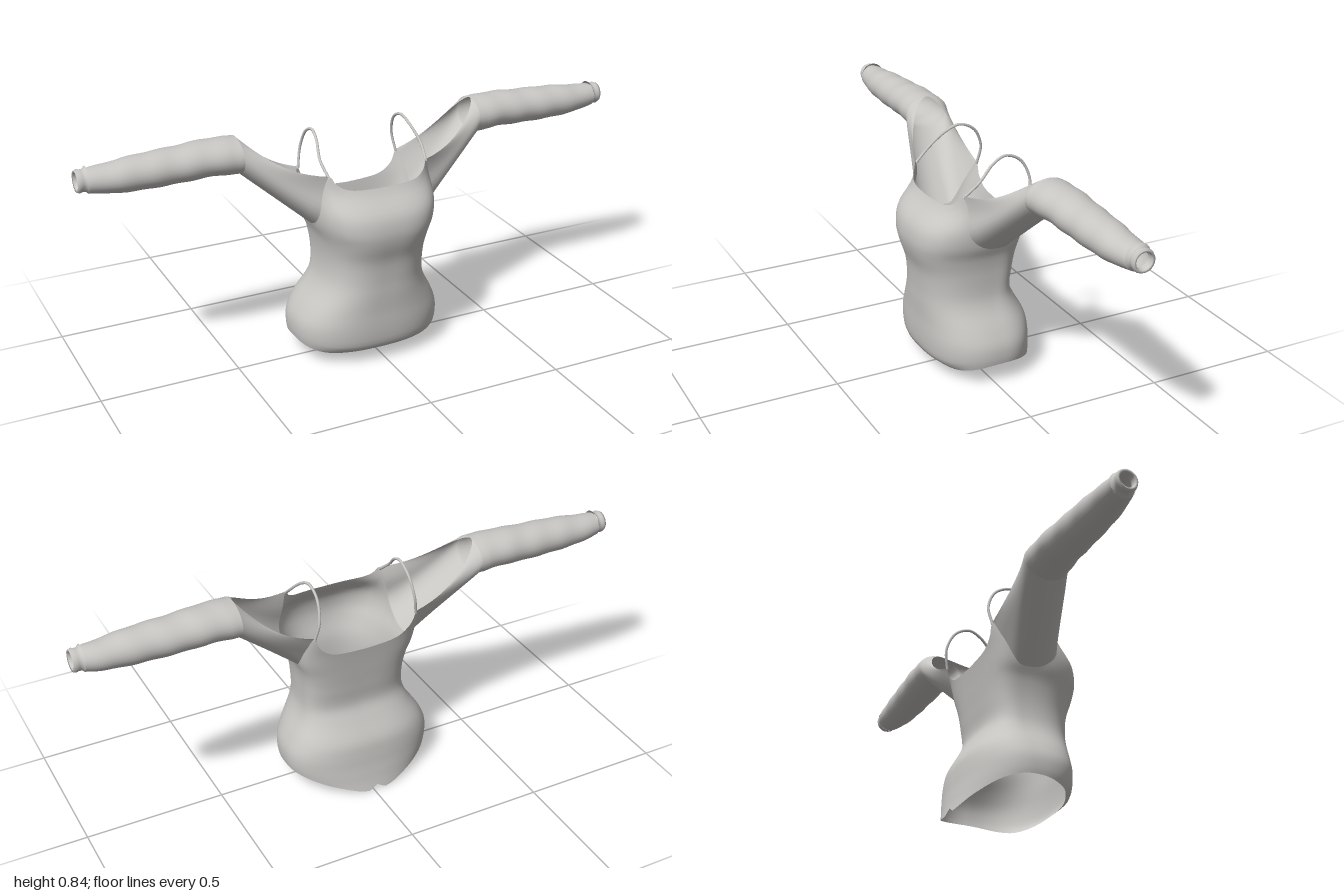
import * as THREE from 'three';
import { mergeVertices } from 'three/addons/utils/BufferGeometryUtils.js';

const PI = Math.PI, CZ = -0.03, FRONT = 0.85, BACK = 2.32;

// Smooth lookup in a key table: [position, value, value, ...]
function track(keys, p, c = 1) {
  const n = keys.length - 1;
  let i = 0;
  while (i < n - 1 && p > keys[i + 1][0]) i++;
  const slope = (k) => {
    const a = keys[Math.max(k - 1, 0)], b = keys[Math.min(k + 1, n)];
    return (b[c] - a[c]) / (b[0] - a[0]);
  };
  const a = keys[i], b = keys[i + 1], h = b[0] - a[0];
  const t = Math.min(Math.max((p - a[0]) / h, 0), 1), t2 = t * t, t3 = t2 * t;
  return (2 * t3 - 3 * t2 + 1) * a[c] + (t3 - 2 * t2 + t) * h * slope(i)
    + (3 * t2 - 2 * t3) * b[c] + (t3 - t2) * h * slope(i + 1);
}

// Skin between rows of points
function skin(rows, closed, flip) {
  const n = rows[0].length, pos = [], index = [];
  rows.forEach((r) => r.forEach((p) => pos.push(p.x, p.y, p.z)));
  for (let i = 0; i < rows.length - 1; i++) {
    for (let j = 0; j < (closed ? n : n - 1); j++) {
      const k = (j + 1) % n, a = i * n + j, b = i * n + k, c = b + n, d = a + n;
      if (flip) index.push(a, c, b, a, d, c);
      else index.push(a, b, c, a, c, d);
    }
  }
  let g = new THREE.BufferGeometry();
  g.setAttribute('position', new THREE.Float32BufferAttribute(pos, 3));
  g.setIndex(index);
  g = mergeVertices(g, 1e-5);
  g.computeVertexNormals();
  return g;
}

// Torso: height, half width, front z, back z
const BODY = [
  [0, 0.245, 0.13, -0.225], [0.04, 0.26, 0.146, -0.216], [0.065, 0.268, 0.174, -0.212],
  [0.1, 0.275, 0.183, -0.206], [0.15, 0.272, 0.186, -0.2], [0.2, 0.25, 0.186, -0.19],
  [0.27, 0.208, 0.189, -0.15], [0.32, 0.192, 0.19, -0.126], [0.4, 0.19, 0.198, -0.131],
  [0.47, 0.2, 0.219, -0.139], [0.52, 0.218, 0.225, -0.145], [0.58, 0.226, 0.21, -0.154],
  [0.65, 0.224, 0.15, -0.171], [0.72, 0.222, 0.134, -0.173],
];
// Heights of the hem and of the neckline and armhole, by angle from the front
const HEM = [[0, 0.048], [0.7, 0.05], [1.1, 0.064], [PI / 2, 0.08], [2.1, 0.065],
  [2.6, 0.03], [3.02, 0.001], [PI, 0.02]];
const TOP = [[0, 0.658], [0.45, 0.664], [0.7, 0.684], [FRONT, 0.71], [1.05, 0.645],
  [1.3, 0.55], [PI / 2, 0.507], [1.8, 0.54], [2.06, 0.602], [BACK, 0.66],
  [2.5, 0.618], [2.8, 0.58], [PI, 0.566]];

function bodyPoint(angle, y) {
  const s = Math.sin(angle), c = Math.cos(angle);
  const e = c > 0 ? 0.8 - 0.2 * y : 0.95 - 0.77 * y;
  const depth = track(BODY, y, c > 0 ? 2 : 3) - CZ;
  const sway = -0.014 * (1 - THREE.MathUtils.smoothstep(y, 0.15, 0.4)); // hips lean to one side
  return new THREE.Vector3(
    sway + Math.sign(s) * track(BODY, y) * Math.abs(s) ** e, y, CZ + depth * Math.abs(c) ** e);
}

function span(a, b, n) {
  return Array.from({ length: n }, (_, i) => a + (b - a) * i / n);
}

function torsoGeometry() {
  const angles = [...span(-FRONT, FRONT, 28), ...span(FRONT, BACK, 28),
    ...span(BACK, 2 * PI - BACK, 28), ...span(2 * PI - BACK, 2 * PI - FRONT, 28)];
  const rows = [];
  for (let i = 0; i <= 36; i++) {
    rows.push(angles.map((angle) => {
      const a = angle > PI ? 2 * PI - angle : Math.abs(angle);
      const low = Math.max(track(HEM, a), 0);
      return bodyPoint(angle, low + (track(TOP, a) - low) * i / 36);
    }));
  }
  return skin(rows, true, false);
}

// Sleeve: x, centre y, centre z, radius in y, radius in z
const ARM = [
  [0.45, 0.778, -0.073, 0.063, 0.084], [0.55, 0.782, -0.076, 0.062, 0.079],
  [0.65, 0.777, -0.077, 0.061, 0.074], [0.8, 0.773, -0.076, 0.058, 0.066],
  [0.9, 0.771, -0.077, 0.049, 0.057], [0.965, 0.774, -0.078, 0.04, 0.046],
];

function armPoint(x, phi, side) {
  const fold = x > 0.47 ? 1 + 0.018 * Math.sin(x * 55 + 1.5 * Math.sin(phi)) : 1;
  return new THREE.Vector3(side * x,
    track(ARM, x, 1) - track(ARM, x, 3) * fold * Math.cos(phi),
    track(ARM, x, 2) - track(ARM, x, 4) * fold * Math.sin(phi));
}

function sleeveGeometry(side) {
  const n = 28, rows = [];
  // Off-the-shoulder part, open on top, from the armhole to the upper arm
  for (let i = 0; i <= 16; i++) {
    const u = i / 16, t = 1 - (1 - u) ** 2, row = [];
    for (let j = 0; j <= n; j++) {
      const angle = FRONT + (BACK - FRONT) * j / n, around = 2 * j / n - 1;
      const start = bodyPoint(angle, track(TOP, angle));
      start.x *= side;
      const p = start.lerp(armPoint(0.45, around * PI * (1 - 0.42 * (1 - u)), side), t);
      p.y -= 0.018 * Math.sin(PI * t) * around ** 4; // the open edge sags
      row.push(p);
    }
    rows.push(row);
  }
  // Closed part down to the wrist
  for (let i = 1; i <= 40; i++) {
    const row = [];
    for (let j = 0; j <= n; j++) {
      row.push(armPoint(0.45 + 0.515 * i / 40, (2 * (j % n) / n - 1) * PI, side));
    }
    rows.push(row);
  }
  return skin(rows, false, side < 0);
}

// Cuff: x and radius, rolled inwards at the end
function cuffGeometry(side) {
  const profile = [[0.962, 0.046], [0.97, 0.038], [0.98, 0.037], [0.99, 0.04],
    [1, 0.036], [0.998, 0.029], [0.975, 0.027]];
  const rows = profile.map(([x, r]) => Array.from({ length: 24 }, (_, j) => {
    const phi = 2 * PI * j / 24;
    return new THREE.Vector3(side * x, 0.777 - r * Math.cos(phi), -0.078 - r * Math.sin(phi));
  }));
  return skin(rows, true, side < 0);
}

// Thin strap looping over the shoulder
function strapGeometry(side) {
  const points = [[0.184, 0.702, 0.096], [0.192, 0.75, 0.04], [0.178, 0.803, -0.02],
    [0.172, 0.822, -0.07], [0.172, 0.795, -0.128], [0.18, 0.725, -0.16],
    [0.193, 0.652, -0.15]].map(([x, y, z]) => new THREE.Vector3(side * x, y, z));
  return new THREE.TubeGeometry(new THREE.CatmullRomCurve3(points), 40, 0.005, 8);
}

export function createModel() {
  const model = new THREE.Group();
  model.name = 'top';
  const cloth = new THREE.MeshStandardMaterial({ color: 0xc9c7c4, side: THREE.DoubleSide });
  cloth.name = 'light grey cloth';
  const add = (name, geometry) => {
    const mesh = new THREE.Mesh(geometry, cloth);
    mesh.name = name;
    model.add(mesh);
  };
  add('torso', torsoGeometry());
  for (const [label, side] of [['left', 1], ['right', -1]]) {
    add(label + 'Sleeve', sleeveGeometry(side));
    add(label + 'Cuff', cuffGeometry(side));
    add(label + 'Strap', strapGeometry(side));
  }
  return model;
}
